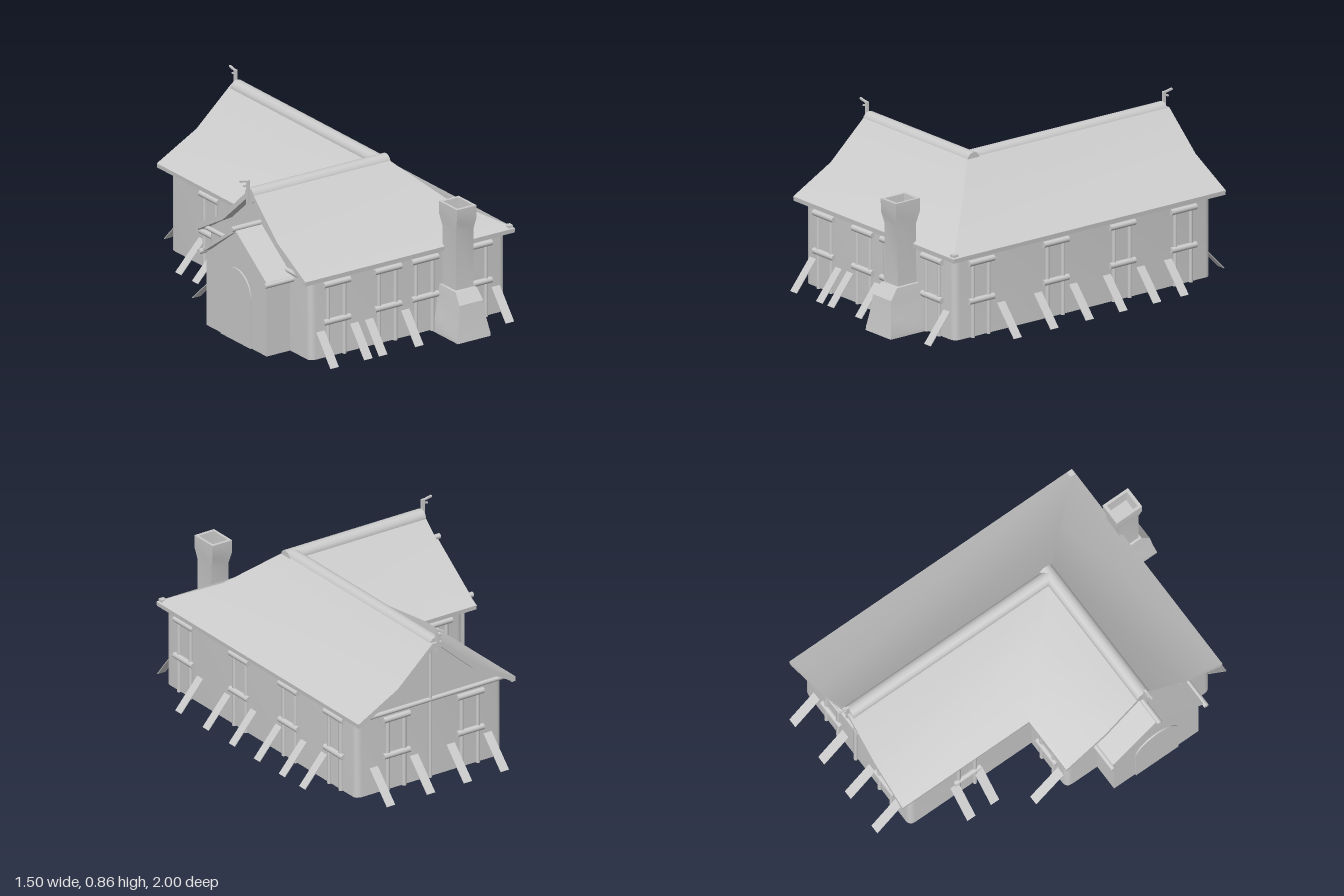
import * as THREE from 'three';
import { toCreasedNormals } from 'three/addons/utils/BufferGeometryUtils.js';

const grey = new THREE.MeshStandardMaterial({ color: 0xcccccc });
const thin = new THREE.MeshStandardMaterial({ color: 0xcccccc, side: THREE.DoubleSide });
const RIDGE_X = 0.165, RIDGE_Z = 0.34;

function add(parent, name, geo, pos = [0, 0, 0], mat = grey) {
  const m = new THREE.Mesh(geo, mat);
  m.name = name;
  m.position.set(...pos);
  parent.add(m);
  return m;
}

// group whose local +z points away from a wall
function onWall(parent, name, x, z, angle) {
  const g = new THREE.Group();
  g.name = name;
  g.position.set(x, 0, z);
  g.rotation.y = angle;
  parent.add(g);
  return g;
}

// skin between closed rings of points; extra holds more triangles as [ring, index] corners
function loft(rings, crease = 0.6, extra = []) {
  const n = rings[0].length, pos = [];
  const tri = (...c) => c.forEach(([s, i]) => pos.push(...rings[s][i % n]));
  for (let s = 0; s < rings.length - 1; s++)
    for (let i = 0; i < n; i++) {
      tri([s, i], [s + 1, i], [s + 1, i + 1]);
      tri([s, i], [s + 1, i + 1], [s, i + 1]);
    }
  extra.forEach(t => tri(...t));
  const g = new THREE.BufferGeometry();
  g.setAttribute('position', new THREE.Float32BufferAttribute(pos, 3));
  return toCreasedNormals(g, crease);
}

function log(parent, name, r, length, axis, pos) {
  const g = new THREE.CylinderGeometry(r, r, length, 12);
  if (axis === 'x') g.rotateZ(Math.PI / 2);
  if (axis === 'z') g.rotateX(Math.PI / 2);
  return add(parent, name, g, pos);
}

// mitred L-shaped roof swept along both ridges
function roofGeometry() {
  const half = [[0.478, 0.432], [0.48, 0.455], [0.24, 0.585], [0.03, 0.775]];
  const top = [...half, ...half.map(([d, y]) => [-d, y]).reverse()];
  const under = [[0.455, 0.43], [0.45, 0.44], [0.235, 0.56], [0.02, 0.75]];
  const low = [...under.map(([d, y]) => [-d, y]), ...under.slice().reverse()];
  const loop = [...top, ...low], n = top.length;
  for (let i = 0; i < 4; i++) { loop[n + i] = low[i]; }
  const rings = [
    loop.map(([d, y]) => [-0.63, y, RIDGE_Z + d]),
    loop.map(([d, y]) => [RIDGE_X + d, y, RIDGE_Z + d]),
    loop.map(([d, y]) => [RIDGE_X + d, y, -0.918]),
  ];
  const caps = [];
  for (let i = 0; i < n - 1; i++) {
    const q = [i, i + 1, 2 * n - 2 - i, 2 * n - 1 - i];
    for (const t of [[0, 1, 2], [0, 2, 3]]) {
      caps.push(t.map(k => [0, q[k]]));
      caps.push(t.map(k => [2, q[k]]).reverse());
    }
  }
  return loft(rings, 0.6, caps);
}

// L-shaped wall outline with softened outer corners
function wallGeometry() {
  const corners = [[0.61, 0.785], [-0.575, 0.785], [-0.575, -0.1], [-0.28, -0.1], [-0.28, -0.85], [0.61, -0.85]];
  const pts = [];
  corners.forEach((c, k) => {
    const p = new THREE.Vector2(...c);
    if (k === 3) return pts.push(p);
    const a = new THREE.Vector2(...corners[(k + 5) % 6]).sub(p).setLength(0.035).add(p);
    const b = new THREE.Vector2(...corners[(k + 1) % 6]).sub(p).setLength(0.035).add(p);
    pts.push(...new THREE.QuadraticBezierCurve(a, p, b).getPoints(4));
  });
  return loft([0.01, 0.45].map(y => pts.map(p => [p.x, y, p.y])), 0.7);
}

function addWindow(wall, u) {
  for (const y of [0.2, 0.4]) log(wall, 'windowBar', 0.016, 0.16, 'x', [u, y, 0.006]);
  for (const s of [-1, 1]) log(wall, 'windowPost', 0.011, 0.385, 'y', [u + s * 0.05, 0.2, 0.002]);
}

// thin plank leaning from the ground to the wall
function addProp(wall, u, reach) {
  const h = 0.155;
  const m = add(wall, 'wallProp', new THREE.BoxGeometry(0.05, Math.hypot(h, reach), 0.004), [u, h / 2, reach / 2]);
  m.rotation.x = -Math.atan2(reach, h);
}

// gable infill with tie beam and centre post
function addGable(wall) {
  const s = new THREE.Shape([[-0.45, 0.43], [0.45, 0.43], [0.235, 0.57], [0, 0.77], [-0.235, 0.57]].map(p => new THREE.Vector2(...p)));
  add(wall, 'gable', new THREE.ShapeGeometry(s), [0, 0, 0], thin);
  log(wall, 'gableBeam', 0.012, 0.88, 'x', [0, 0.44, 0.008]);
}

function addFinial(parent, x, z, angle) {
  const g = onWall(parent, 'ridgeFinial', x, z, angle);
  add(g, 'finialPost', new THREE.BoxGeometry(0.012, 0.13, 0.018), [0, 0.785, 0.012]);
  for (const [y, len, tilt] of [[0.848, 0.06, -0.2], [0.828, 0.035, 0.25]])
    add(g, 'finialHorn', new THREE.BoxGeometry(0.01, 0.009, len), [0, y, 0.005 + len / 2]).rotation.x = tilt;
}

function addPorch(parent) {
  const g = onWall(parent, 'porch', -0.57, 0.35, -Math.PI / 2);
  const shape = pts => new THREE.Shape(pts.map(p => new THREE.Vector2(...p)));
  const extrude = (s, depth) => new THREE.ExtrudeGeometry(s, { depth, bevelEnabled: false, curveSegments: 16 });
  add(g, 'porchWalls', extrude(shape([[-0.26, 0.01], [0.26, 0.01], [0.26, 0.4], [0, 0.595], [-0.26, 0.4]]), 0.148));
  add(g, 'porchRoof', extrude(shape([[-0.29, 0.39], [0, 0.595], [0.29, 0.39], [0.29, 0.405], [0, 0.615], [-0.29, 0.405]]), 0.163));
  for (const [u, y] of [[-0.285, 0.402], [0, 0.613], [0.285, 0.402]])
    log(g, 'porchLog', 0.014, 0.18, 'z', [u, y, 0.09]);
  // arched door
  const door = shape([[-0.13, 0.01], [0.13, 0.01], [0.13, 0.27]]);
  door.absarc(0, 0.27, 0.13, 0, Math.PI, false);
  add(g, 'archedDoor', extrude(door, 0.01), [0, 0, 0.146]);
}

function chimneyGeometry() {
  // height, half width, back z, front z
  const rows = [
    [0, 0.1, 0.78, 1], [0.02, 0.1, 0.78, 0.997], [0.1, 0.083, 0.78, 0.985], [0.19, 0.072, 0.785, 0.975],
    [0.247, 0.064, 0.79, 0.93], [0.25, 0.054, 0.8, 0.918], [0.56, 0.053, 0.8, 0.918], [0.62, 0.06, 0.782, 0.934],
    [0.688, 0.06, 0.78, 0.936], [0.688, 0.046, 0.797, 0.919], [0.6, 0.04, 0.805, 0.91], [0.6, 0, 0.857, 0.857],
  ];
  const x = 0.27;
  return loft(rows.map(([y, w, z0, z1]) => [[x + w, y, z1], [x - w, y, z1], [x - w, y, z0], [x + w, y, z0]]), 0.5);
}

export function createModel() {
  const house = new THREE.Group();
  house.name = 'house';

  add(house, 'walls', wallGeometry(), [0, 0, 0], thin);
  add(house, 'roof', roofGeometry(), [0, 0, 0], thin);

  // ridge logs and the cap on the hip corner
  log(house, 'sideRidgeLog', 0.04, 0.83, 'x', [-0.215, 0.762, RIDGE_Z - 0.005]);
  log(house, 'mainRidgeLog', 0.039, 1.235, 'z', [RIDGE_X - 0.005, 0.762, -0.285]);
  add(house, 'hipCap', new THREE.BoxGeometry(0.03, 0.02, 0.03), [0.622, 0.462, 0.798]);
  addFinial(house, -0.63, RIDGE_Z, -Math.PI / 2);
  addFinial(house, RIDGE_X - 0.005, -0.9, Math.PI);

  // each wall: origin, facing, window offsets, prop offsets, prop reach (offsets in world x or z)
  const walls = [
    ['frontWall', 0, 0.785, 0, [-0.42, -0.11, 0.115, 0.44], [-0.515, -0.31, -0.22, 0, 0.55], 0.125],
    ['leftSideWall', 0.61, 0, Math.PI / 2, [0.62, 0.145, -0.28, -0.67], [0.49, 0.255, 0.03, -0.185, -0.4, -0.575], 0.135],
    ['backWall', 0, -0.85, Math.PI, [0.37, -0.08], [-0.19, 0.035, 0.26, 0.505], 0.15],
    ['innerSideWall', -0.28, 0, -Math.PI / 2, [-0.5], [-0.575, -0.43], 0.145],
    ['innerBackWall', 0, -0.1, Math.PI, [-0.42], [-0.53], 0.17],
  ];
  for (const [name, x, z, angle, windows, props, reach] of walls) {
    const wall = onWall(house, name, x, z, angle);
    const sign = angle === 0 || angle < 0 ? 1 : -1;
    windows.forEach(u => addWindow(wall, sign * u));
    props.forEach(u => addProp(wall, sign * u, reach));
  }

  // gable ends
  const backGable = onWall(house, 'backGable', RIDGE_X, -0.85, Math.PI);
  addGable(backGable);
  log(backGable, 'gablePost', 0.01, 0.74, 'y', [0, 0.38, 0.008]);
  addGable(onWall(house, 'sideGable', -0.575, RIDGE_Z, -Math.PI / 2));

  addPorch(house);
  add(house, 'chimney', chimneyGeometry());
  return house;
}
